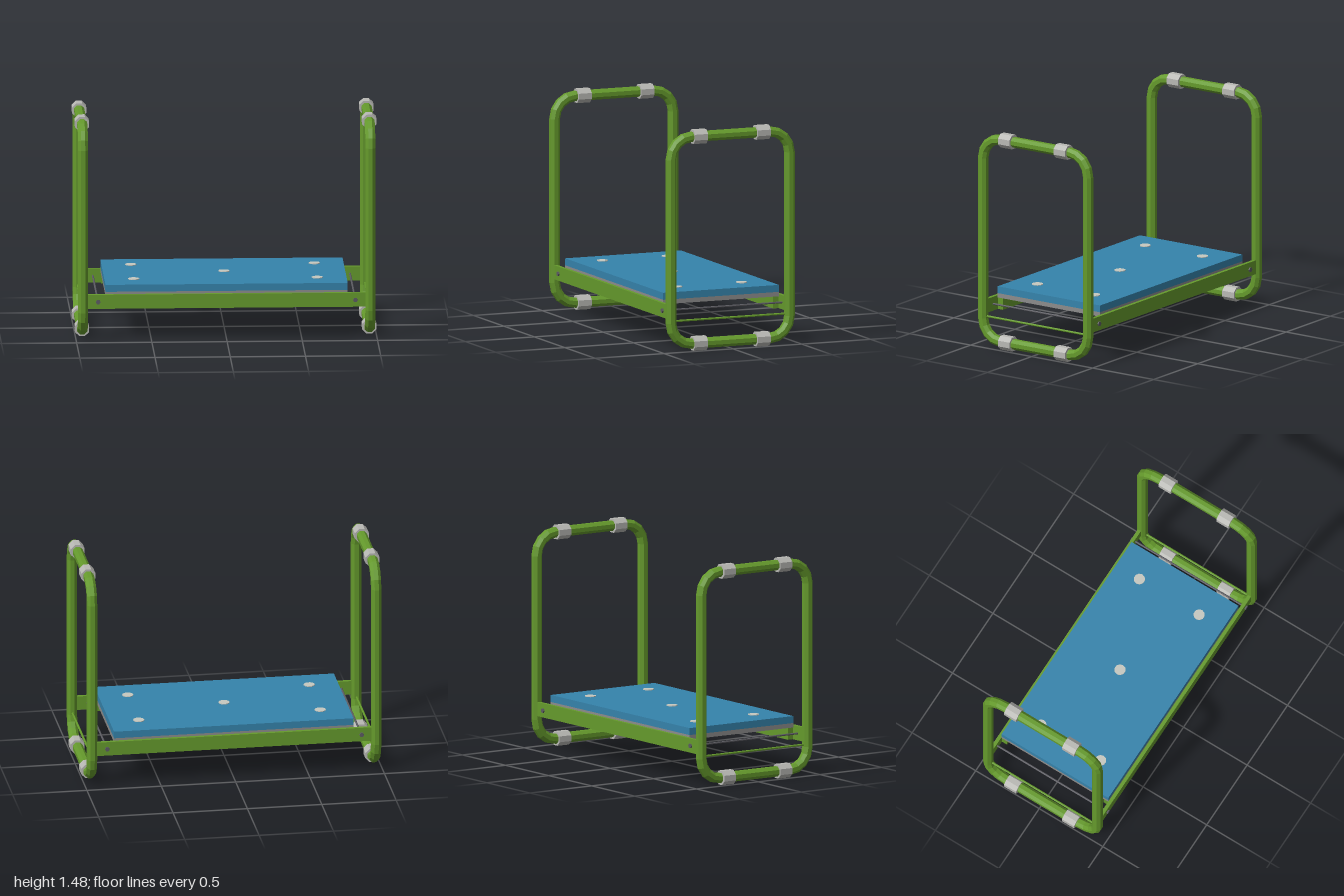
import * as THREE from 'three';

const mat = (name, color) => {
  const m = new THREE.MeshStandardMaterial({ color });
  m.name = name;
  return m;
};

// Octagonal tube swept around a closed rounded rectangle in the yz plane
function loopGeometry(halfY, halfZ, corner, r, sides = 8, steps = 4) {
  const pos = [], idx = [];
  for (let q = 0; q < 4; q++) {
    const cz = (q === 0 || q === 3 ? 1 : -1) * (halfZ - corner);
    const cy = (q < 2 ? 1 : -1) * (halfY - corner);
    for (let s = 0; s <= steps; s++) {
      const a = (q + s / steps) * Math.PI / 2;
      for (let j = 0; j < sides; j++) {
        const t = (j + 0.5) / sides * Math.PI * 2;
        const d = corner + r * Math.cos(t);
        pos.push(r * Math.sin(t), cy + d * Math.sin(a), cz + d * Math.cos(a));
      }
    }
  }
  const rings = pos.length / 3 / sides;
  for (let i = 0; i < rings; i++) {
    for (let j = 0; j < sides; j++) {
      const k = (j + 1) % sides, n = (i + 1) % rings;
      const a = i * sides + j, b = i * sides + k, c = n * sides + j, d = n * sides + k;
      idx.push(a, b, c, b, d, c);
    }
  }
  const g = new THREE.BufferGeometry();
  g.setAttribute('position', new THREE.Float32BufferAttribute(pos, 3));
  g.setIndex(idx);
  return faceted(g);
}

function faceted(g) {
  const f = g.toNonIndexed();
  f.computeVertexNormals();
  return f;
}

// Faceted rod along y, with flats facing the axes
const rod = (r, len, sides = 8) =>
  faceted(new THREE.CylinderGeometry(r, r, len, sides, 1, false, Math.PI / sides));

export function createModel() {
  const root = new THREE.Group();
  root.name = 'kneelerBench';
  const green = mat('green paint', 0x659a2c);
  const blue = mat('blue pad', 0x3583ab);
  const grey = mat('grey board', 0x8c8c8c);
  const silver = mat('light grey plastic', 0xb8b8b4);
  const button = mat('pale button', 0xc6c8c0);
  const dark = mat('dark steel', 0x5c5c62);

  const add = (name, geo, material, x, y, z) => {
    const m = new THREE.Mesh(geo, material);
    m.name = name;
    m.position.set(x, y, z);
    root.add(m);
    return m;
  };

  // End frames with grip sleeves and cross rods
  const loop = loopGeometry(0.695, 0.43, 0.145, 0.036);
  const sleeve = rod(0.051, 0.095).rotateX(Math.PI / 2);
  const lowerRod = rod(0.0075, 0.82).rotateX(Math.PI / 2);
  const tieRod = rod(0.0065, 0.88).rotateX(Math.PI / 2);
  const bolt = rod(0.016, 0.012, 6).rotateX(Math.PI / 2);
  for (const sx of [-1, 1]) {
    add('endFrame', loop, green, sx * 0.955, 0.742, 0);
    add('lowerCrossRod', lowerRod, green, sx * 0.955, 0.205, 0);
    add('tieRod', tieRod, dark, sx * 0.855, 0.265, 0);
    for (const sz of [-1, 1]) {
      add('tieRodBolt', bolt, dark, sx * 0.855, 0.265, sz * 0.449);
      for (const y of [0.047, 1.437]) add('gripSleeve', sleeve, silver, sx * 0.955, y, sz * 0.228);
    }
  }

  // Side rails with an inner ledge carrying the board
  for (const sz of [-1, 1]) {
    add('sideRail', new THREE.BoxGeometry(1.87, 0.095, 0.024), green, 0, 0.2655, sz * 0.433);
    add('railLedge', new THREE.BoxGeometry(1.6, 0.08, 0.041), green, 0, 0.258, sz * 0.4005);
  }

  // Drilled base board
  const corners = [[-1, -1], [-1, 1], [1, -1], [1, 1]];
  const buttons = [[0, 0], ...corners.map(([a, b]) => [a * 0.61, b * 0.235])];
  const small = [[-0.44, 0], [0.44, 0], [0, -0.235], [0, 0.235],
    ...corners.map(([a, b]) => [a * 0.305, b * 0.235])];
  const shape = new THREE.Shape([[-0.805, -0.42], [0.805, -0.42], [0.805, 0.42], [-0.805, 0.42]]
    .map(([x, y]) => new THREE.Vector2(x, y)));
  const drill = (list, r) => list.forEach(([x, y]) =>
    shape.holes.push(new THREE.Path().absarc(x, y, r, 0, Math.PI * 2, true)));
  drill(buttons, 0.056);
  drill(small, 0.022);
  const board = new THREE.ExtrudeGeometry(shape, { depth: 0.03, bevelEnabled: false, curveSegments: 10 });
  add('baseBoard', board.rotateX(-Math.PI / 2), grey, 0, 0.298, 0);

  // Cushion and its buttons
  add('cushion', new THREE.BoxGeometry(1.61, 0.047, 0.84), blue, 0, 0.3515, 0);
  const disc = rod(0.038, 0.01, 10);
  for (const [x, z] of buttons) add('cushionButton', disc, button, x, 0.375, z);

  return root;
}
